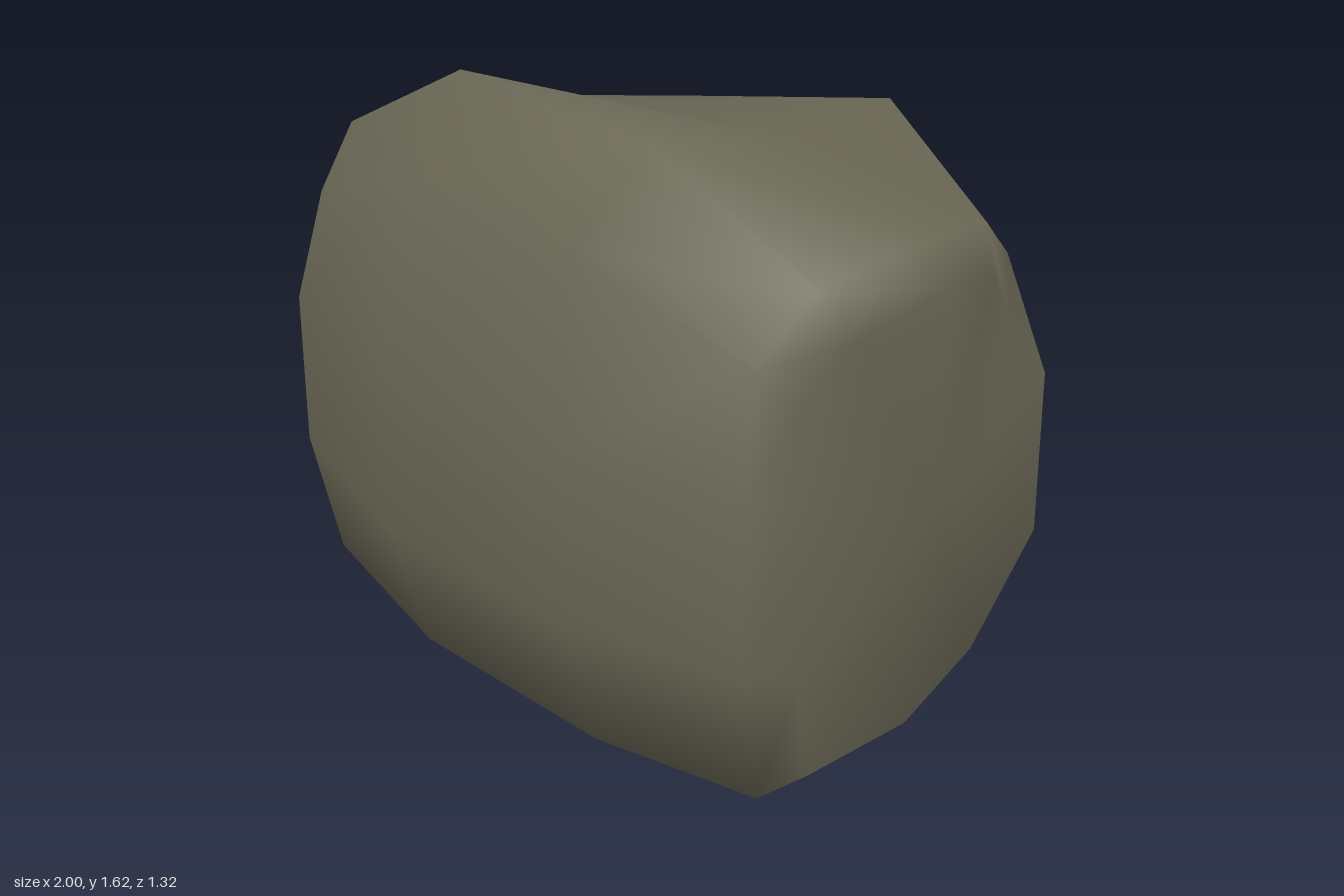
import * as THREE from 'three';

// Cross-section as [z, y]: underside, front, top (heights set per station), back
const SECTION = [
  [-0.515, 0], [0, 0], [0.55, 0.01],
  [0.662, 0.4], [0.662, 0.85],
  [0.59, 0], [0.365, 0], [-0.14, 0], [-0.53, 0], [-0.64, 0],
  [-0.66, 0.9], [-0.66, 0.45],
];
const TOP = 5; // first section point whose height comes from the station

// Rounding of the corners near both ends: factors on x and z for each section point
const PULL_X = [0.9, 1, 0.98, 1, 1, 0.94, 1, 1, 0.99, 0.93, 1, 1];
const PULL_Z = [1, 1, 1, 1, 1, 0.97, 1, 1, 0.7, 0.88, 1, 1];

// Stations along x: front and back depth factors, underside lift, top heights
const STATIONS = [
  { x: -1.0, front: 0.6, back: 0.82, lift: 0.04, top: [1.06, 1.19, 1.22, 1.2, 1.07] },
  { x: -0.89, front: 0.74, back: 0.97, lift: 0.005, top: [1.17, 1.33, 1.33, 1.29, 1.21] },
  { x: -0.26, front: 1, back: 0.99, lift: 0, top: [1.375, 1.62, 1.43, 1.38, 1.325] },
  { x: 0.42, front: 0.98, back: 1, lift: 0, top: [1.36, 1.575, 1.48, 1.51, 1.38] },
  { x: 0.9, front: 0.77, back: 0.92, lift: 0.005, top: [1.16, 1.32, 1.34, 1.33, 1.19] },
  { x: 1.0, front: 0.63, back: 0.79, lift: 0.09, top: [1.06, 1.2, 1.24, 1.22, 1.06] },
];

function stoneGeometry() {
  const n = SECTION.length;
  const last = STATIONS.length - 1;
  const pos = [];
  const idx = [];

  STATIONS.forEach((s, i) => {
    const end = i === 0 || i === last;
    const nearEnd = i <= 1 || i >= last - 1;
    SECTION.forEach(([z0, y0], j) => {
      const isTop = j >= TOP && j < TOP + s.top.length;
      const y = isTop ? s.top[j - TOP] : Math.max(y0, s.lift);
      // the ends lean in slightly toward the top
      let x = end ? s.x - Math.sign(s.x) * 0.024 * y : s.x;
      let z = z0 * (z0 > 0 ? s.front : s.back);
      if (nearEnd) {
        x *= PULL_X[j];
        z *= PULL_Z[j];
      }
      pos.push(x, y, z);
    });
  });

  // Skin between neighbouring stations
  for (let i = 0; i < last; i++) {
    for (let j = 0; j < n; j++) {
      const k = (j + 1) % n;
      const a = i * n + j, b = a + n, c = (i + 1) * n + k, d = i * n + k;
      idx.push(a, b, c, a, c, d);
    }
  }

  // End faces
  for (const [i, x] of [[0, -0.985], [last, 0.99]]) {
    const centre = pos.length / 3;
    pos.push(x, 0.65, -0.06);
    for (let j = 0; j < n; j++) {
      const a = i * n + j, b = i * n + (j + 1) % n;
      if (i === 0) idx.push(centre, a, b);
      else idx.push(centre, b, a);
    }
  }

  const geo = new THREE.BufferGeometry();
  geo.setAttribute('position', new THREE.Float32BufferAttribute(pos, 3));
  geo.setIndex(idx);
  geo.computeVertexNormals();
  return geo;
}

export function createModel() {
  const group = new THREE.Group();
  group.name = 'rock';
  const stone = new THREE.MeshStandardMaterial({ color: 0x6b6856 });
  stone.name = 'stone';
  const boulder = new THREE.Mesh(stoneGeometry(), stone);
  boulder.name = 'boulder';
  group.add(boulder);
  return group;
}
